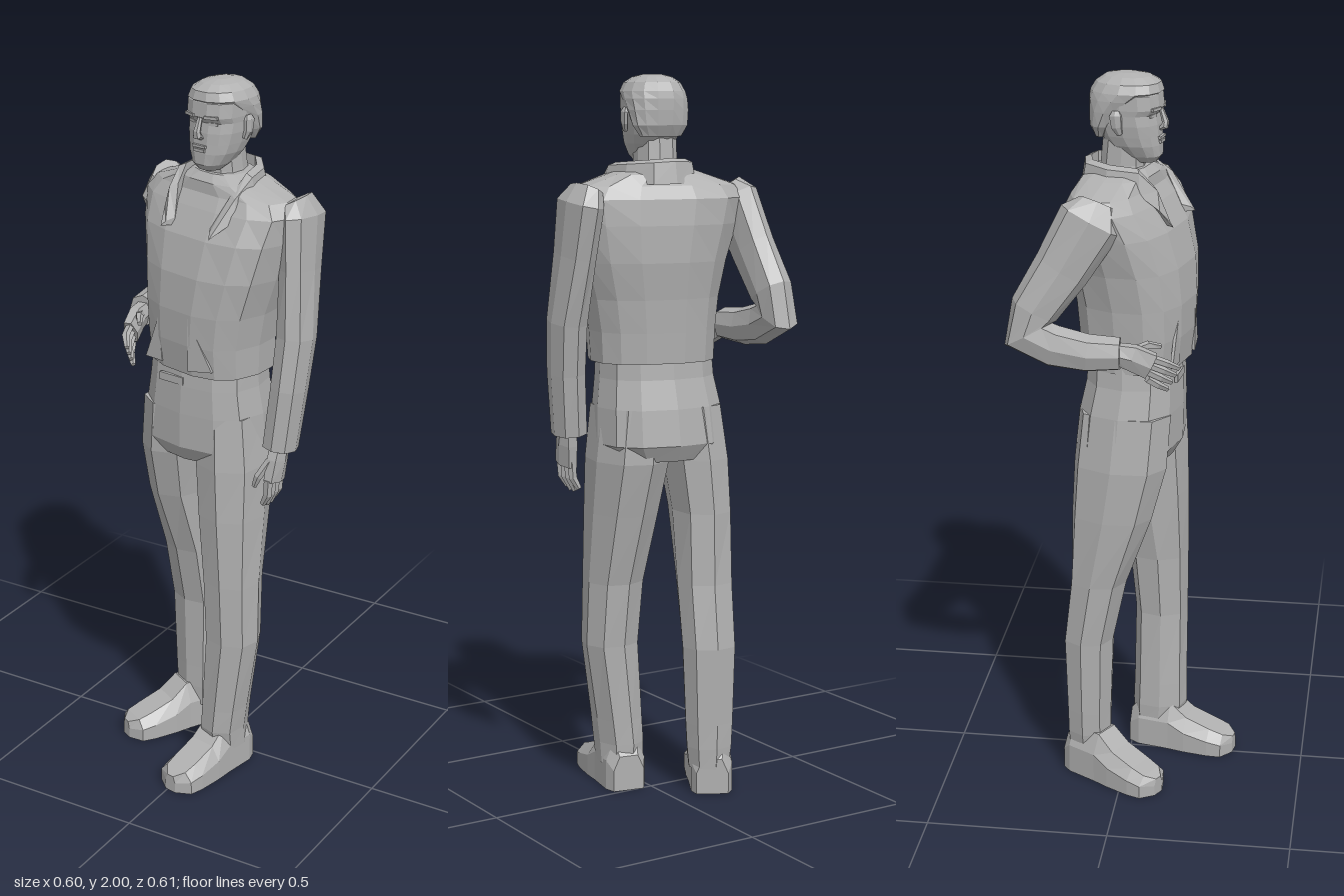
import * as THREE from 'three';

const grey = new THREE.MeshStandardMaterial({ color: 0xb0b0b0, flatShading: true });
grey.name = 'plain grey';
const V = (x, y, z) => new THREE.Vector3(x, y, z);

// Closed skin over a list of equal-length point rings, with fan caps
function loft(rings) {
  const n = rings[0].length, tris = [];
  const fan = (ring, flip) => {
    const c = ring.reduce((s, p) => s.add(p), V(0, 0, 0)).divideScalar(n);
    ring.forEach((p, i) => {
      const q = ring[(i + 1) % n];
      tris.push(flip ? [c, q, p] : [c, p, q]);
    });
  };
  for (let r = 0; r + 1 < rings.length; r++) {
    for (let i = 0; i < n; i++) {
      const j = (i + 1) % n, A = rings[r], B = rings[r + 1];
      tris.push([A[i], A[j], B[j]], [A[i], B[j], B[i]]);
    }
  }
  fan(rings[0], true);
  fan(rings[rings.length - 1], false);
  // Turn the faces outward
  const volume = tris.reduce((s, [a, b, c]) => s + a.dot(b.clone().cross(c)), 0);
  const pos = [];
  for (const [a, b, c] of tris) {
    for (const p of volume < 0 ? [a, c, b] : [a, b, c]) pos.push(p.x, p.y, p.z);
  }
  const g = new THREE.BufferGeometry();
  g.setAttribute('position', new THREE.Float32BufferAttribute(pos, 3));
  g.computeVertexNormals();
  return g;
}

// Rounded-box cross-section spanned by two axes
function section(c, u, v, a, b, sides, power) {
  const bulge = (t) => Math.sign(t) * Math.abs(t) ** (2 / power);
  return Array.from({ length: sides }, (_, i) => {
    const t = (i / sides) * Math.PI * 2;
    return c.clone().addScaledVector(u, a * bulge(Math.cos(t))).addScaledVector(v, b * bulge(Math.sin(t)));
  });
}

// Upright body from rows of [y, cx, cz, rx, rz], turned by an angle
function column(rows, turn = 0, sides = 12, power = 2.5) {
  const u = V(Math.cos(turn), 0, Math.sin(turn)), v = V(-Math.sin(turn), 0, Math.cos(turn));
  return loft(rows.map(([y, x, z, a, b]) => section(V(x, y, z), u, v, a, b, sides, power)));
}

// Limb along a path from rows of [x, y, z, half width, half depth]
function limb(rows, sides = 8, power = 2.3) {
  const pts = rows.map((r) => V(r[0], r[1], r[2]));
  return loft(rows.map((r, i) => {
    const t = pts[Math.min(i + 1, pts.length - 1)].clone().sub(pts[Math.max(i - 1, 0)]).normalize();
    const u = V(1, 0, 0).addScaledVector(t, -t.x).normalize();
    return section(pts[i], u, t.clone().cross(u), r[3], r[4], sides, power);
  }));
}

function add(parent, name, geometry) {
  const m = new THREE.Mesh(geometry, grey);
  m.name = name;
  parent.add(m);
  return m;
}

function box(parent, name, w, h, d, x, y, z, turn = 0) {
  const m = add(parent, name, new THREE.BoxGeometry(w, h, d));
  m.position.set(x, y, z);
  m.rotation.y = turn;
  return m;
}

// Shoe from heel to toe: [distance, half width, height]
function shoe(parent, name, x, z, turn) {
  const rows = [[0, 0.045, 0.1], [0.03, 0.058, 0.14], [0.12, 0.06, 0.14], [0.17, 0.064, 0.1],
    [0.24, 0.064, 0.075], [0.28, 0.058, 0.062], [0.305, 0.018, 0.05]];
  const m = add(parent, name, loft(rows.map(([d, w, h]) => [
    V(-w, 0, d), V(-w, h * 0.6, d), V(-w * 0.6, h, d), V(w * 0.6, h, d), V(w, h * 0.6, d), V(w, 0, d)])));
  m.position.set(x, 0, z);
  m.rotation.y = turn;
}

function buildHead() {
  const head = new THREE.Group();
  head.name = 'head';
  head.rotation.y = -0.18;
  // rows: [y, half width, front z, back z]
  const rows = (list) => list.map(([y, w, f, b]) => [y, 0, (f + b) / 2, w, (f - b) / 2]);
  add(head, 'skull', column(rows([
    [1.768, 0.03, 0.072, 0.01], [1.785, 0.047, 0.086, -0.03], [1.815, 0.064, 0.086, -0.06],
    [1.84, 0.071, 0.084, -0.08], [1.87, 0.077, 0.082, -0.092], [1.897, 0.079, 0.077, -0.1],
    [1.912, 0.08, 0.088, -0.1], [1.95, 0.08, 0.084, -0.1], [1.98, 0.06, 0.06, -0.08]]), 0, 14));
  add(head, 'hair', column(rows([
    [1.835, 0.06, -0.05, -0.088], [1.865, 0.079, -0.025, -0.104], [1.905, 0.085, 0.012, -0.108],
    [1.935, 0.087, 0.055, -0.109], [1.955, 0.085, 0.088, -0.106], [1.978, 0.073, 0.081, -0.092],
    [1.993, 0.05, 0.055, -0.07], [2.0, 0.022, 0.02, -0.035]]), 0, 14, 2.2));
  add(head, 'nose', limb([[0, 1.91, 0.083, 0.007, 0.006], [0, 1.875, 0.095, 0.01, 0.009],
    [0, 1.863, 0.094, 0.014, 0.01], [0, 1.856, 0.082, 0.011, 0.006]], 6));
  box(head, 'upperLip', 0.044, 0.007, 0.012, 0, 1.835, 0.084);
  box(head, 'lowerLip', 0.036, 0.008, 0.012, 0, 1.824, 0.084);
  for (const s of [-1, 1]) {
    box(head, 'eyebrow', 0.038, 0.008, 0.014, s * 0.035, 1.914, 0.078, s * 0.3);
    box(head, 'eye', 0.026, 0.008, 0.008, s * 0.034, 1.895, 0.07, s * 0.3);
    add(head, 'ear', limb([[s * 0.077, 1.85, -0.005, 0.006, 0.008], [s * 0.083, 1.87, -0.012, 0.008, 0.015],
      [s * 0.084, 1.9, -0.015, 0.008, 0.018], [s * 0.08, 1.912, -0.015, 0.005, 0.01]], 6));
  }
  return head;
}

export function createModel() {
  const man = new THREE.Group();
  man.name = 'standingMan';
  man.add(buildHead());
  add(man, 'neck', column([[1.69, 0, -0.025, 0.065, 0.07], [1.76, 0, -0.02, 0.055, 0.06], [1.83, -0.003, -0.015, 0.052, 0.058]], 0, 10));

  // Jacket, wide at the shoulders and turned a little to one side
  add(man, 'jacket', column([
    [1.225, -0.012, 0.022, 0.172, 0.138], [1.31, -0.012, 0.024, 0.176, 0.146], [1.4, -0.008, 0.022, 0.188, 0.15],
    [1.5, 0, 0.012, 0.212, 0.152], [1.6, 0, -0.003, 0.238, 0.14], [1.67, 0, -0.02, 0.252, 0.118],
    [1.705, 0, -0.024, 0.225, 0.098], [1.735, 0, -0.022, 0.135, 0.092], [1.755, 0, -0.02, 0.075, 0.07]], 0.25, 14, 2.6));

  // Standing collar running into two lapels: [x, z, top, bottom]
  const collar = [[-0.1, 0.118, 1.635, 1.615], [-0.108, 0.085, 1.72, 1.66], [-0.108, 0.035, 1.765, 1.7],
    [-0.1, -0.05, 1.77, 1.71], [-0.06, -0.112, 1.775, 1.71], [0, -0.122, 1.778, 1.71], [0.06, -0.11, 1.775, 1.71],
    [0.105, -0.045, 1.77, 1.71], [0.115, 0.035, 1.765, 1.7], [0.1, 0.1, 1.72, 1.66], [0.055, 0.155, 1.635, 1.615]];
  add(man, 'collar', loft(collar.map(([x, z, top, low]) => [
    V(x * 0.82, top, z * 0.85), V(x, top - 0.008, z), V(x * 1.1, low, z * 1.08), V(x * 0.82, low, z * 0.85)])));

  // Loose jacket front corners
  const flap = (name, pts, z, turn) => {
    const shape = new THREE.Shape(pts.map(([x, y]) => new THREE.Vector2(x, y)));
    const m = add(man, name, new THREE.ExtrudeGeometry(shape, { depth: 0.008, bevelEnabled: false }));
    m.position.z = z;
    m.rotation.y = turn;
  };
  flap('leftFlap', [[0.0, 1.39], [0.0, 1.24], [0.075, 1.25]], 0.168, 0);
  flap('rightFlap', [[-0.11, 1.37], [-0.16, 1.24], [-0.1, 1.24]], 0.157, -0.2);

  // Trousers
  add(man, 'hips', column([
    [1.26, -0.02, 0.02, 0.16, 0.125], [1.18, -0.022, 0.02, 0.165, 0.13], [1.1, -0.024, 0.012, 0.178, 0.14],
    [1.0, -0.026, 0.006, 0.184, 0.145], [0.955, -0.03, 0.005, 0.15, 0.12]], 0.12));
  box(man, 'beltBuckle', 0.08, 0.022, 0.009, -0.07, 1.195, 0.142, -0.12);
  add(man, 'leftLeg', column([
    [1.1, 0.058, 0.02, 0.09, 0.125], [0.95, 0.064, 0.025, 0.1, 0.128], [0.8, 0.071, 0.046, 0.092, 0.11],
    [0.6, 0.082, 0.072, 0.08, 0.084], [0.42, 0.088, 0.08, 0.077, 0.075], [0.2, 0.066, 0.08, 0.065, 0.076],
    [0.13, 0.06, 0.08, 0.062, 0.078], [0.07, 0.06, 0.075, 0.06, 0.07]], -0.05, 8, 2.4));
  add(man, 'rightLeg', column([
    [1.1, -0.115, 0, 0.085, 0.13], [0.95, -0.13, -0.012, 0.088, 0.132], [0.8, -0.137, -0.035, 0.08, 0.115],
    [0.6, -0.13, -0.072, 0.08, 0.08], [0.42, -0.128, -0.1, 0.078, 0.07], [0.2, -0.13, -0.1, 0.07, 0.063],
    [0.13, -0.13, -0.1, 0.066, 0.062], [0.07, -0.128, -0.1, 0.058, 0.058]], 0.2, 8, 2.4));
  shoe(man, 'leftShoe', 0.072, 0.003, -0.2);
  shoe(man, 'rightShoe', -0.108, -0.152, -0.52);

  // Hanging left arm
  add(man, 'leftSleeve', limb([
    [0.215, 1.7, -0.02, 0.035, 0.06], [0.235, 1.66, -0.02, 0.045, 0.092], [0.242, 1.52, 0, 0.043, 0.08],
    [0.25, 1.34, 0.03, 0.049, 0.064], [0.242, 1.2, 0.05, 0.047, 0.06], [0.225, 1.03, 0.065, 0.046, 0.054]]));
  add(man, 'leftPalm', limb([[0.226, 1.05, 0.068, 0.024, 0.03], [0.224, 1.0, 0.08, 0.025, 0.04], [0.22, 0.94, 0.09, 0.022, 0.043]], 6));
  add(man, 'leftThumb', limb([[0.215, 1.0, 0.105, 0.012, 0.012], [0.19, 0.955, 0.125, 0.011, 0.011], [0.178, 0.925, 0.125, 0.007, 0.007]], 5));
  for (let i = 0; i < 4; i++) {
    const z = 0.06 + i * 0.02, tip = 0.862 + Math.abs(i - 1.5) * 0.008;
    add(man, 'leftFinger', limb([[0.22, 0.95, z, 0.013, 0.011], [0.217, 0.905, z, 0.012, 0.01], [0.2, tip, z - 0.004, 0.008, 0.007]], 5));
  }

  // Bent right arm with the elbow behind the back
  add(man, 'rightSleeve', limb([
    [-0.205, 1.7, -0.06, 0.035, 0.05], [-0.225, 1.66, -0.075, 0.047, 0.085], [-0.235, 1.53, -0.15, 0.046, 0.075],
    [-0.245, 1.42, -0.222, 0.05, 0.065], [-0.252, 1.355, -0.24, 0.048, 0.07], [-0.255, 1.325, -0.17, 0.045, 0.058],
    [-0.255, 1.31, -0.08, 0.044, 0.052], [-0.25, 1.31, 0.005, 0.04, 0.045]]));
  add(man, 'rightPalm', limb([[-0.25, 1.31, -0.01, 0.024, 0.03], [-0.248, 1.3, 0.035, 0.024, 0.038], [-0.238, 1.275, 0.085, 0.02, 0.04]], 6));
  add(man, 'rightThumb', limb([[-0.24, 1.31, 0.03, 0.012, 0.012], [-0.215, 1.325, 0.075, 0.011, 0.011], [-0.195, 1.315, 0.105, 0.007, 0.007]], 5));
  for (let i = 0; i < 4; i++) {
    const y = 1.3 - i * 0.02;
    add(man, 'rightFinger', limb([[-0.24, y, 0.075, 0.012, 0.011], [-0.228, y - 0.02, 0.125 - i * 0.008, 0.011, 0.01],
      [-0.205, y - 0.04, 0.155 - i * 0.01, 0.007, 0.007]], 5));
  }
  return man;
}
